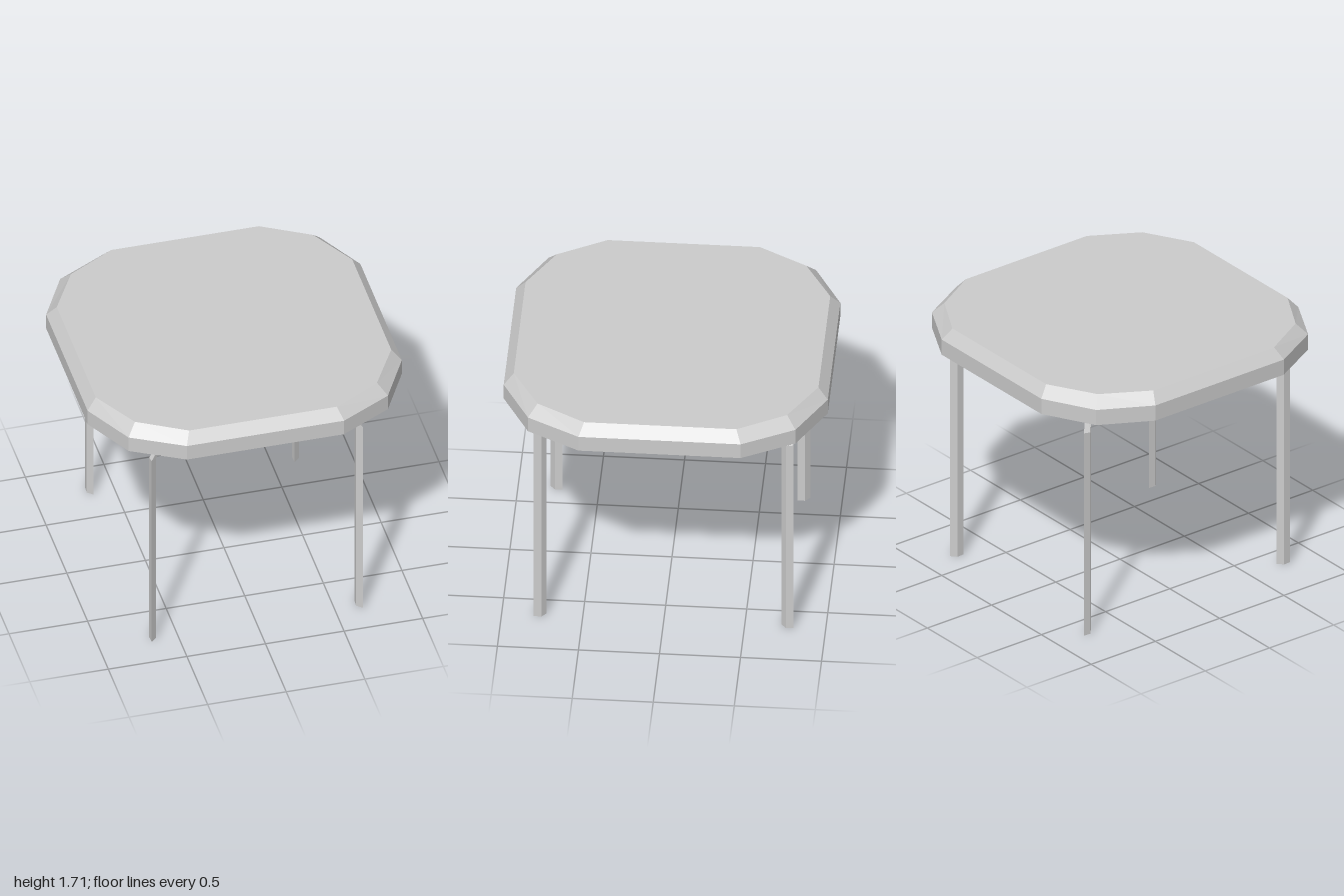
import * as THREE from 'three';

const material = new THREE.MeshStandardMaterial({ color: 0xcccccc, flatShading: true });

// Joins convex rings of points into a closed, faceted solid.
function loft(rings, flip = false) {
  const pos = [];
  const tri = (a, b, c) => pos.push(...a, ...(flip ? c : b), ...(flip ? b : c));
  const n = rings[0].length;
  for (let k = 0; k < rings.length - 1; k++) {
    for (let i = 0; i < n; i++) {
      const j = (i + 1) % n;
      const [a, b, c, d] = [rings[k][i], rings[k + 1][i], rings[k + 1][j], rings[k][j]];
      tri(a, b, c);
      tri(a, c, d);
    }
  }
  const first = rings[0], last = rings[rings.length - 1];
  for (let i = 1; i < n - 1; i++) {
    tri(first[0], first[i], first[i + 1]);
    tri(last[0], last[i + 1], last[i]);
  }
  const geometry = new THREE.BufferGeometry();
  geometry.setAttribute('position', new THREE.Float32BufferAttribute(pos, 3));
  geometry.computeVertexNormals();
  return geometry;
}

// Twelve-sided outline made by turning one corner four times.
function seatRing(corner, y) {
  const ring = [];
  let points = corner;
  for (let q = 0; q < 4; q++) {
    ring.push(...points.map(([x, z]) => [x, y, z]));
    points = points.map(([x, z]) => [z, -x]);
  }
  return ring;
}

// Skewed bar section: [outward, sideways] offsets.
const section = [[0.039, 0.0163], [0.007, -0.0195], [-0.039, -0.0163], [-0.007, 0.0195]];

// Bar path from under the seat centre to the floor: x, y, z, then outward direction (radial, up).
const path = [
  [0, 1.492, 0, 0, 1],
  [0.14, 1.492, 0.16, 0, 1],
  [0.53, 1.492, 0.65, 0.15, 1],
  [0.656, 1.395, 0.763, 1, 0.2],
  [0.656, 0, 0.763, 1, 0],
];

function legGeometry(sx, sz) {
  const h = Math.SQRT1_2;
  const rings = path.map(([x, y, z, radial, up]) => section.map(([u, v]) => [
    sx * (x + (u * radial - v) * h),
    y + u * up,
    sz * (z + (u * radial + v) * h),
  ]));
  return loft(rings, sx * sz < 0);
}

export function createModel() {
  const group = new THREE.Group();
  group.name = 'stool';
  const add = (name, geometry) => {
    const mesh = new THREE.Mesh(geometry, material);
    mesh.name = name;
    group.add(mesh);
  };

  // Seat slab with a bevelled top edge
  const outer = [[0.5, 1], [0.825, 0.825], [1, 0.5]];
  const inner = [[0.47, 0.94], [0.77, 0.77], [0.94, 0.47]];
  add('seat', loft([seatRing(inner, 1.705), seatRing(outer, 1.635), seatRing(outer, 1.53)]));

  // Four bent legs meeting in a cross under the seat
  for (const sz of [1, -1]) {
    for (const sx of [1, -1]) {
      add((sz > 0 ? 'front' : 'back') + (sx > 0 ? 'Left' : 'Right') + 'Leg', legGeometry(sx, sz));
    }
  }
  return group;
}
